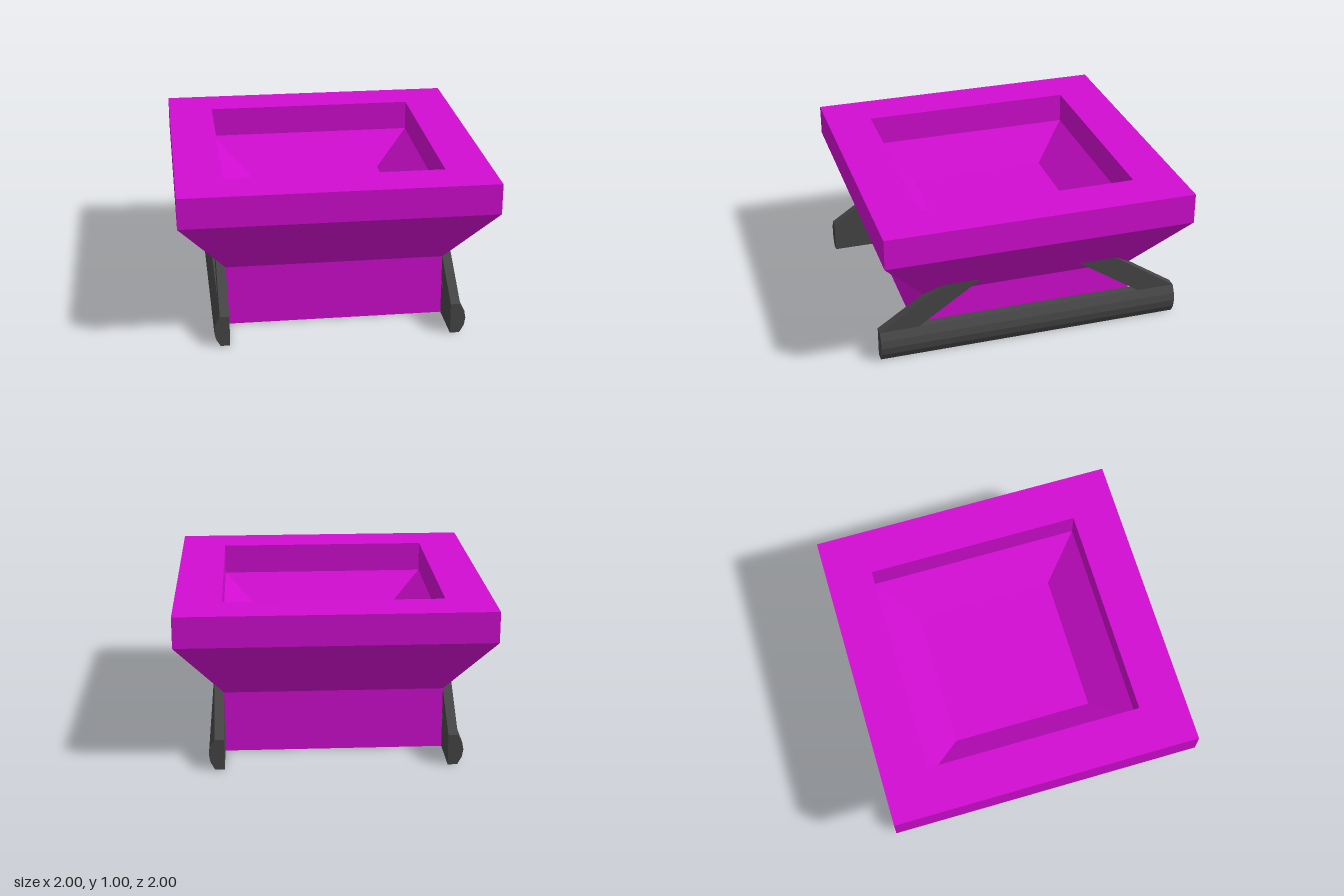
import * as THREE from 'three';

const magenta = new THREE.MeshStandardMaterial({ name: 'magenta', color: 0xd00dd0 });
const charcoal = new THREE.MeshStandardMaterial({ name: 'charcoal', color: 0x464646 });

const points = (list) => list.map(([x, y]) => new THREE.Vector2(x, y));

function addMesh(parent, name, geometry, material) {
  const mesh = new THREE.Mesh(geometry, material);
  mesh.name = name;
  parent.add(mesh);
}

// Square body: a half-width / height profile swept round four sides
function basinGeometry() {
  const profile = [
    [0, 0], [0.7, 0], [0.7, 0.4], [1, 0.8], [1, 1],   // outside
    [0.7, 1], [0.7, 0.8], [0.46, 0.6], [0, 0.6],      // recess
  ].map(([r, y]) => [r * Math.SQRT2, y]);
  const geometry = new THREE.LatheGeometry(points(profile), 4, Math.PI / 4).toNonIndexed();
  geometry.computeVertexNormals();
  return geometry;
}

// Rail with a flat inner side and a rounded outer side
function railGeometry(side) {
  const section = [
    [0.7, 0], [0.76, 0], [0.788, 0.05], [0.797, 0.1],
    [0.788, 0.15], [0.76, 0.2], [0.7, 0.2],
  ].map(([x, y]) => [side * x, y]);
  return new THREE.ExtrudeGeometry(new THREE.Shape(points(section)), { depth: 2, bevelEnabled: false })
    .translate(0, 0, -1);
}

// Slanted brace, outlined in z and y, 0.06 thick along x
function braceGeometry(side, end) {
  const outline = [[1, 0.2], [0.58, 0.48], [0.33, 0.48], [0.75, 0.2]].map(([z, y]) => [end * z, y]);
  return new THREE.ExtrudeGeometry(new THREE.Shape(points(outline)), { depth: 0.06, bevelEnabled: false })
    .rotateY(-Math.PI / 2)
    .translate(side > 0 ? 0.76 : -0.7, 0, 0);
}

export function createModel() {
  const model = new THREE.Group();
  model.name = 'basinOnRails';
  addMesh(model, 'basin', basinGeometry(), magenta);

  // Rail and two braces on each side
  for (const side of [1, -1]) {
    const skid = new THREE.Group();
    skid.name = side > 0 ? 'leftSkid' : 'rightSkid';
    addMesh(skid, 'rail', railGeometry(side), charcoal);
    addMesh(skid, 'frontBrace', braceGeometry(side, 1), charcoal);
    addMesh(skid, 'backBrace', braceGeometry(side, -1), charcoal);
    model.add(skid);
  }
  return model;
}
